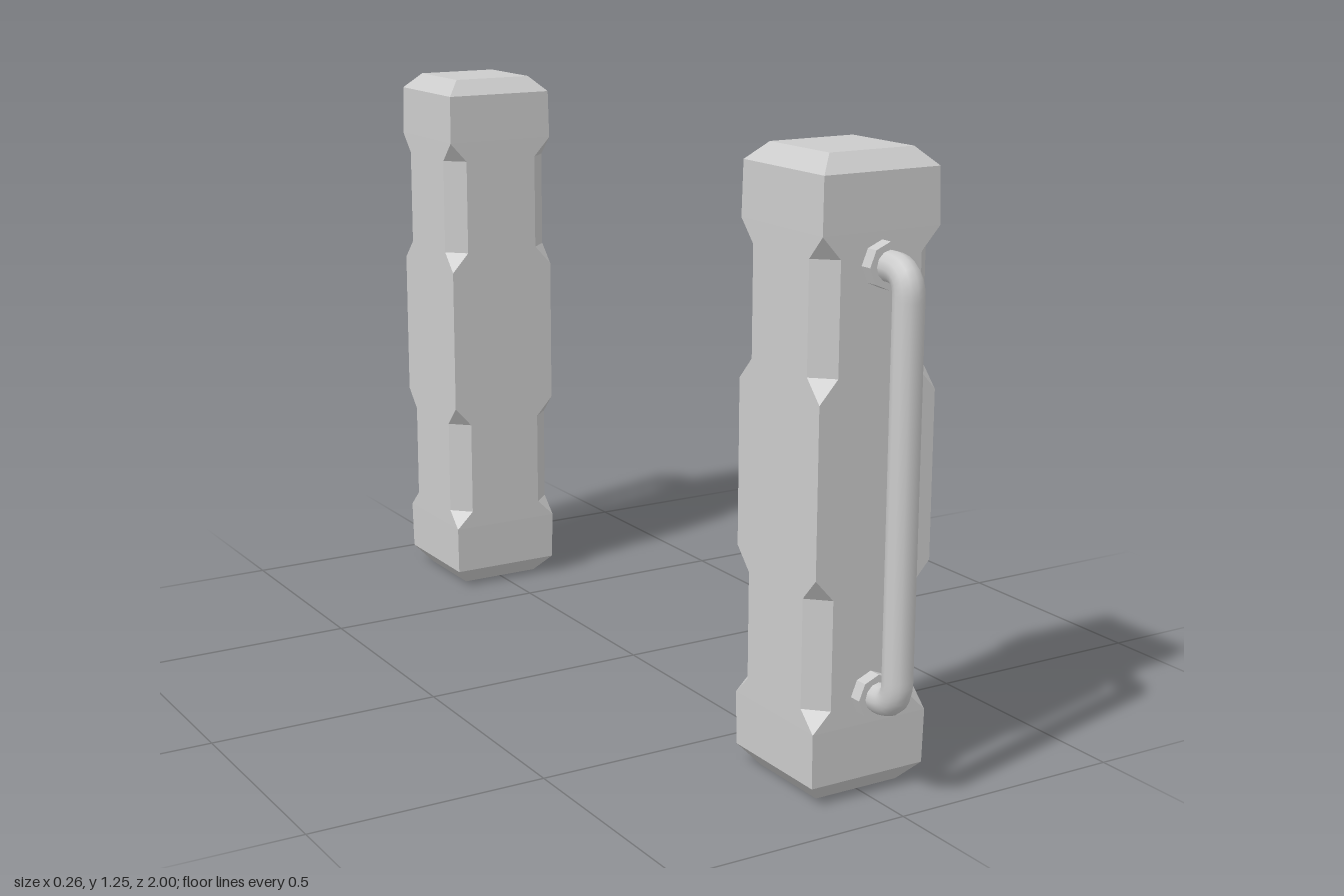
import * as THREE from 'three';

const grey = new THREE.MeshStandardMaterial({ color: 0xcccccc });
const greyFlat = new THREE.MeshStandardMaterial({ color: 0xcccccc, flatShading: true });

// Square section of half width h at height y, with its corners cut by c
function section([y, h, c]) {
  const k = h - c;
  return [[h, k], [k, h], [-k, h], [-h, k], [-h, -k], [-k, -h], [k, -h], [h, -k]]
    .map(([x, z]) => new THREE.Vector3(x, y, z));
}

// Post lofted through [height, half width, corner cut]
function postGeometry() {
  const rings = [
    [0, 0.095, 0], [0.04, 0.13, 0],
    [0.15, 0.132, 0], [0.19, 0.132, 0.041], [0.41, 0.132, 0.041], [0.455, 0.132, 0],
    [0.79, 0.132, 0], [0.835, 0.132, 0.041], [1.055, 0.132, 0.041], [1.1, 0.132, 0],
    [1.21, 0.13, 0], [1.245, 0.095, 0],
  ].map(section);
  const pos = [];
  const tri = (a, b, c) => {
    if (new THREE.Triangle(a, b, c).getArea() > 1e-8) {
      for (const p of [a, b, c]) pos.push(p.x, p.y, p.z);
    }
  };
  for (let i = 0; i < rings.length - 1; i++) {
    const lo = rings[i], hi = rings[i + 1];
    for (let j = 0; j < 8; j++) {
      const n = (j + 1) % 8;
      tri(lo[j], hi[j], hi[n]);
      tri(lo[j], hi[n], lo[n]);
    }
  }
  // End caps
  const bottom = rings[0], top = rings[rings.length - 1];
  for (let j = 1; j < 7; j++) {
    tri(bottom[0], bottom[j], bottom[j + 1]);
    tri(top[0], top[j + 1], top[j]);
  }
  const geo = new THREE.BufferGeometry();
  geo.setAttribute('position', new THREE.Float32BufferAttribute(pos, 3));
  geo.computeVertexNormals();
  return geo;
}

const LOW = 0.21, HIGH = 1.04; // handle mounting heights
const FACE = 0.13;             // post face carrying the handle

// Bent bar: two short arms joined by a long grip with rounded corners
function handleGeometry() {
  const out = 0.215, r = 0.05;
  const v = (y, z) => new THREE.Vector3(0, y, z);
  const path = new THREE.CurvePath();
  path.add(new THREE.LineCurve3(v(LOW, FACE - 0.01), v(LOW, out - r)));
  path.add(new THREE.QuadraticBezierCurve3(v(LOW, out - r), v(LOW, out), v(LOW + r, out)));
  path.add(new THREE.LineCurve3(v(LOW + r, out), v(HIGH - r, out)));
  path.add(new THREE.QuadraticBezierCurve3(v(HIGH - r, out), v(HIGH, out), v(HIGH, out - r)));
  path.add(new THREE.LineCurve3(v(HIGH, out - r), v(HIGH, FACE - 0.01)));
  return new THREE.TubeGeometry(path, 90, 0.03, 12, false);
}

function createPillar() {
  const pillar = new THREE.Group();
  const add = (name, geo, mat) => {
    const mesh = new THREE.Mesh(geo, mat);
    mesh.name = name;
    pillar.add(mesh);
    return mesh;
  };
  add('post', postGeometry(), greyFlat);
  add('handle', handleGeometry(), grey);
  // Octagonal mounting collars
  for (const y of [LOW, HIGH]) {
    const geo = new THREE.CylinderGeometry(0.045, 0.045, 0.035, 8).rotateX(Math.PI / 2);
    add('handleCollar', geo, greyFlat).position.set(0, y, FACE + 0.0105);
  }
  return pillar;
}

export function createModel() {
  const model = new THREE.Group();
  model.name = 'pillarPair';
  // Two pillars with their handles facing outwards
  for (const [name, side] of [['frontPillar', 1], ['backPillar', -1]]) {
    const pillar = createPillar();
    pillar.name = name;
    pillar.position.z = 0.755 * side;
    pillar.rotation.y = side > 0 ? 0 : Math.PI;
    model.add(pillar);
  }
  return model;
}
